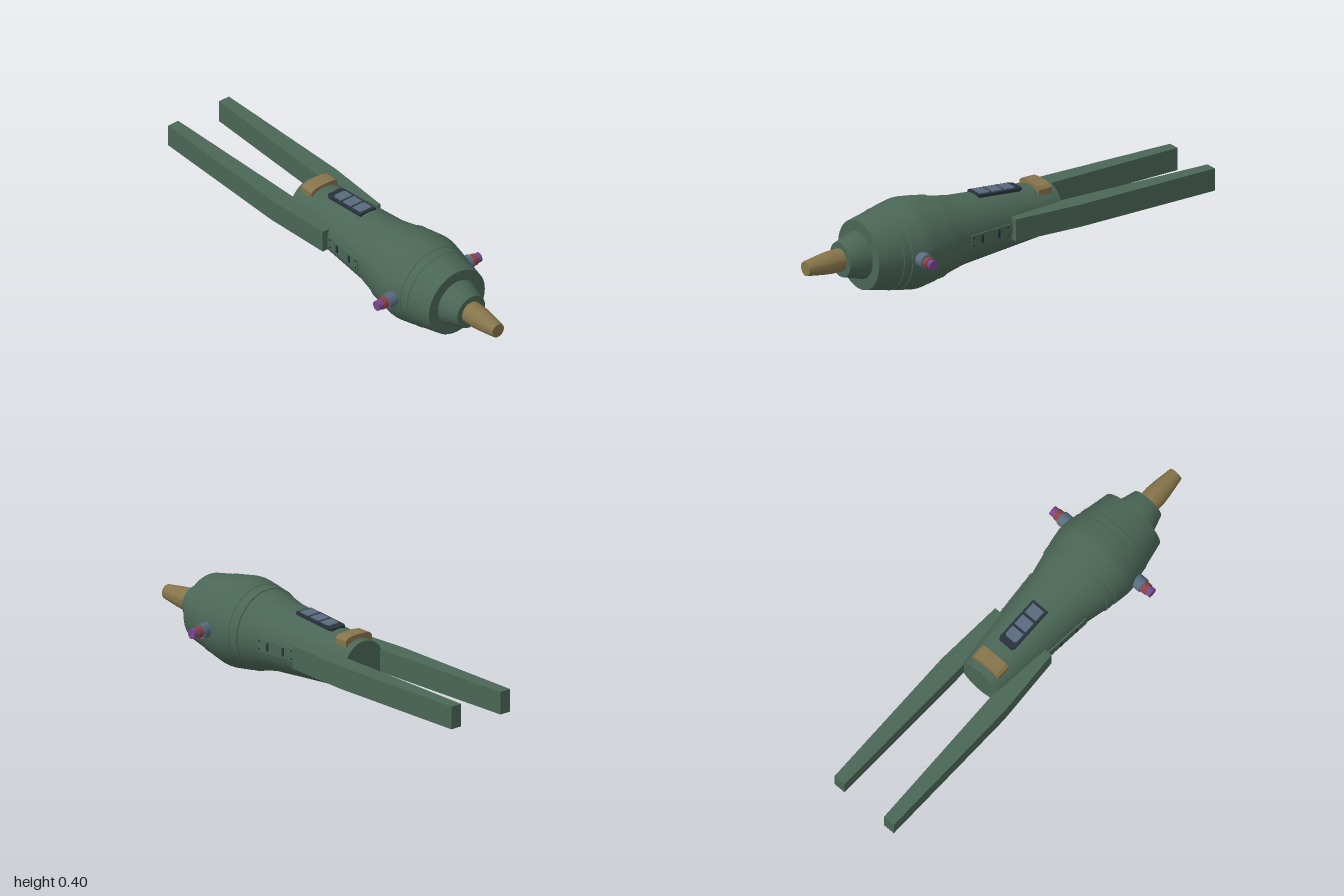
import * as THREE from 'three';
import { toCreasedNormals } from 'three/addons/utils/BufferGeometryUtils.js';

const AXIS = 0.203; // height of the hull's long axis
const TILT = 0.083; // slope of the tapering rear hull
const hullRadius = (z) => 0.133 + TILT * z;

const material = (name, color) => {
  const m = new THREE.MeshStandardMaterial({ color });
  m.name = name;
  return m;
};

export function createModel() {
  const model = new THREE.Group();
  model.name = 'spacecraft';
  const green = material('hull green', 0x4a6656);
  const brass = material('brass', 0x86744a);
  const blue = material('slate blue', 0x586a7e);
  const red = material('dull red', 0x8a4242);
  const purple = material('purple', 0x75478a);
  const dark = material('dark trim', 0x28323a);

  const add = (parent, name, geometry, mat, x = 0, y = 0, z = 0) => {
    const mesh = new THREE.Mesh(geometry, mat);
    mesh.name = name;
    mesh.position.set(x, y, z);
    parent.add(mesh);
    return mesh;
  };
  // Profile points are [radius, z], listed from back to front
  const turned = (points) => {
    const g = new THREE.LatheGeometry(points.map(([r, z]) => new THREE.Vector2(r, z)), 64);
    return toCreasedNormals(g.rotateX(Math.PI / 2), 0.35);
  };
  // Flat outline extruded by a depth
  const slab = (points, depth) => new THREE.ExtrudeGeometry(
    new THREE.Shape(points.map(([x, y]) => new THREE.Vector2(x, y))), { depth, bevelEnabled: false });
  // Plan outline (x, z) standing from y = bottom to y = bottom + height
  const planSlab = (points, bottom, height) =>
    slab(points, height).rotateX(Math.PI / 2).translate(0, bottom + height, 0);

  // Hull with its raised bulge bands, stepped collar and nose
  add(model, 'hull', turned([
    [0, -0.255], [0.111, -0.255], [0.153, 0.24], [0.166, 0.3], [0.178, 0.355], [0.183, 0.357],
    [0.187, 0.4], [0.19, 0.402], [0.2, 0.47], [0.201, 0.49], [0.199, 0.51], [0.187, 0.572],
    [0.184, 0.574], [0.18, 0.61], [0.177, 0.612], [0.154, 0.725], [0, 0.725],
  ]), green, 0, AXIS, 0);
  add(model, 'collar', turned([[0.105, 0.72], [0.105, 0.728], [0.077, 0.82], [0, 0.82]]), green, 0, AXIS, 0);
  add(model, 'nose', turned([
    [0.05, 0.815], [0.05, 0.87], [0.046, 0.91], [0.034, 0.99], [0.032, 1], [0, 1],
  ]), brass, 0, AXIS, 0);

  // Mount whose y axis points out of the sloping hull
  const mount = (name, angle, z) => {
    const turn = new THREE.Group();
    turn.name = name;
    turn.position.set(0, AXIS, z);
    turn.rotation.z = angle;
    const seat = new THREE.Group();
    seat.name = name + 'Seat';
    seat.position.y = hullRadius(z);
    seat.rotation.x = -TILT;
    turn.add(seat);
    model.add(turn);
    return seat;
  };

  // Window strip on the back
  const canopy = mount('canopy', 0, 0.02);
  add(canopy, 'canopyFrame', planSlab([
    [-0.042, 0.113], [0.042, 0.113], [0.042, -0.1], [0.034, -0.115], [-0.034, -0.115], [-0.042, -0.1],
  ], -0.008, 0.014), dark);
  [[-0.083, -0.031, 0.01], [-0.019, 0.034, 0], [0.047, 0.1, 0]].forEach(([a, b, cut]) => {
    const outline = cut
      ? [[-0.031, b], [0.031, b], [0.031, a + cut], [0.024, a], [-0.024, a], [-0.031, a + cut]]
      : [[-0.031, b], [0.031, b], [0.031, a], [-0.031, a]];
    add(canopy, 'canopyWindow', planSlab(outline, 0.003, 0.007), blue);
  });

  // Brass saddle over the tail
  add(model, 'saddle', slab([
    [-0.074, 0.292], [0.074, 0.292], [0.074, 0.32], [0.06, 0.332], [0.03, 0.337],
    [-0.03, 0.337], [-0.06, 0.332], [-0.074, 0.32],
  ], 0.065), brass, 0, 0, -0.222);

  for (const s of [1, -1]) {
    const side = s > 0 ? 'left' : 'right';

    // Long rear prong
    add(model, side + 'Prong', planSlab([
      [0.09, 0.022], [0.16, 0.022], [0.179, -0.3], [0.168, -1], [0.112, -1], [0.092, -0.3],
    ].map(([x, z]) => [s * x, z]), 0.154, 0.102), green);

    // Stepped side thruster
    const thruster = new THREE.Group();
    thruster.name = side + 'Thruster';
    thruster.position.set(0, AXIS, 0.53);
    thruster.rotation.z = -s * Math.PI / 2;
    model.add(thruster);
    const steps = [
      ['base', 0.17, 0.231, 0.033, blue], ['baseRim', 0.231, 0.235, 0.031, blue],
      ['band', 0.234, 0.26, 0.026, red], ['tip', 0.259, 0.284, 0.022, purple],
    ];
    for (const [name, a, b, r, mat] of steps) {
      add(thruster, name, new THREE.CylinderGeometry(r, r, b - a, 32), mat, 0, (a + b) / 2, 0);
    }

    // Side access panel with slots and bolts
    const panel = mount(side + 'Panel', -s * Math.PI / 2, 0.14);
    add(panel, 'panelPlate', new THREE.BoxGeometry(0.056, 0.008, 0.22), green);
    for (const z of [0.05, -0.04]) {
      add(panel, 'panelSlot', new THREE.BoxGeometry(0.036, 0.006, 0.012), dark, 0, 0.004, z);
    }
    for (const z of [0.098, -0.09]) {
      for (const x of [-0.018, 0.018]) {
        add(panel, 'panelBolt', new THREE.CylinderGeometry(0.004, 0.004, 0.006, 10), dark, x, 0.004, z);
      }
    }
  }
  return model;
}
